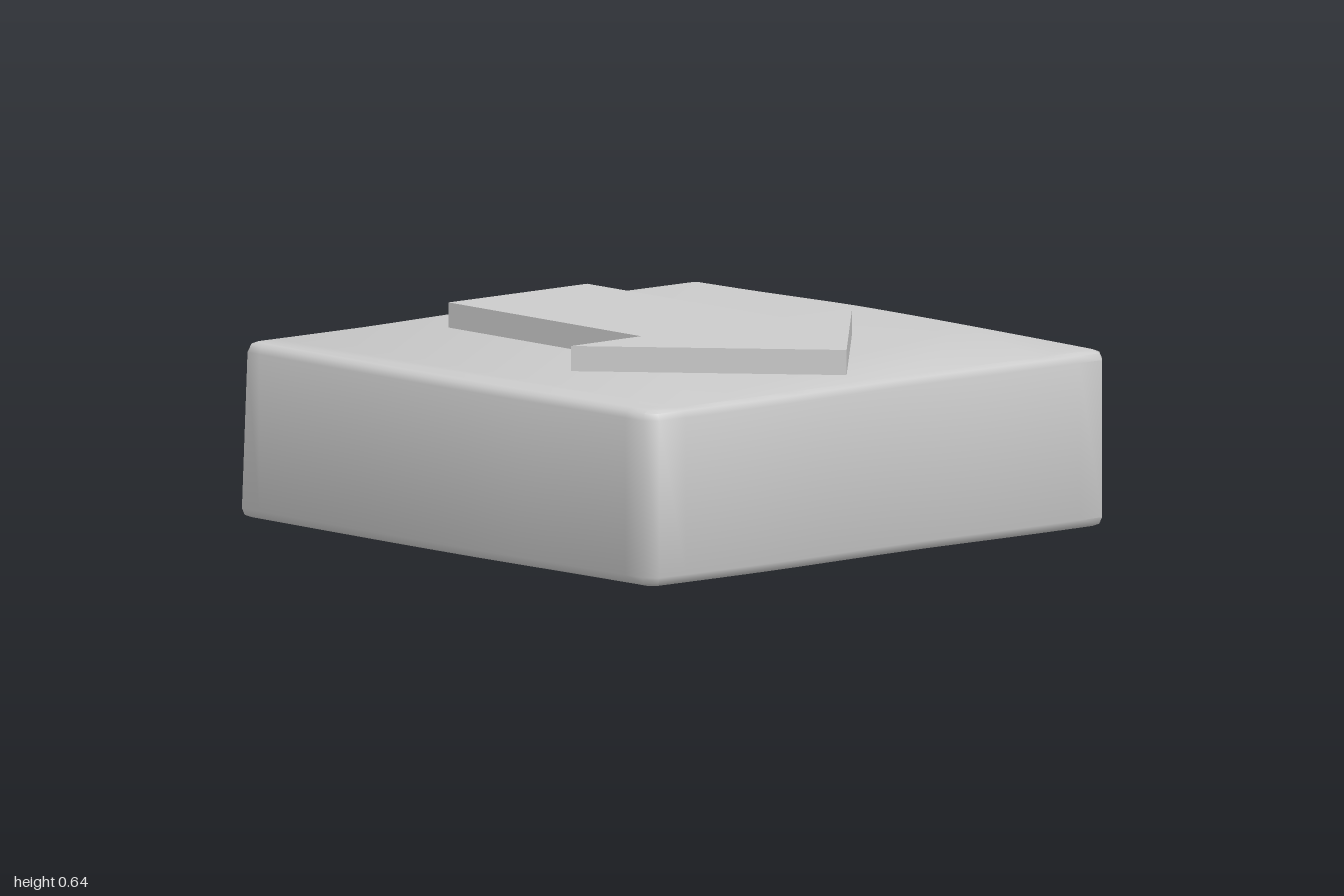
import * as THREE from 'three';
import { toCreasedNormals } from 'three/addons/utils/BufferGeometryUtils.js';

const material = new THREE.MeshStandardMaterial({ color: 0xcccccc });

// Each side of the block's plan as [x, z] points; chamfers join the sides
const SIDES = [
  [[-0.95, -1], [-0.5, -1], [0, -1], [0.5, -1], [0.92, -1]],
  [[0.945, -0.965], [0.96, -0.7], [0.995, -0.33], [1, -0.1], [0.995, 0.2], [0.98, 0.6], [0.965, 0.92]],
  [[0.935, 0.955], [0.6, 0.962], [0.2, 0.962], [-0.1, 0.975], [-0.35, 0.99], [-0.6, 0.998], [-0.95, 0.998]],
  [[-0.985, 0.96], [-0.99, 0.6], [-1, 0.2], [-1, -0.2], [-0.993, -0.6], [-0.985, -0.965]],
];

// Extrudes a plan outline downward from the given top height
function slab(name, points, top, height, bevel) {
  const geo = new THREE.ExtrudeGeometry(new THREE.Shape(points), {
    depth: height - 2 * bevel,
    bevelEnabled: bevel > 0,
    bevelThickness: bevel,
    bevelSize: bevel,
    bevelOffset: -bevel,
    bevelSegments: 2,
  });
  geo.rotateX(Math.PI / 2);
  geo.translate(0, top - bevel, 0);
  const mesh = new THREE.Mesh(geo, material);
  mesh.name = name;
  return mesh;
}

export function createModel() {
  const model = new THREE.Group();
  model.name = 'arrowBlock';

  // Block with gently wavy sides and bevelled edges
  const plan = SIDES.flatMap((side) =>
    new THREE.SplineCurve(side.map(([x, z]) => new THREE.Vector2(x, z))).getPoints(16));
  const block = slab('block', plan, 0.56, 0.56, 0.03);

  // The back wall leans inward toward the top on the right half
  const pos = block.geometry.attributes.position;
  for (let i = 0; i < pos.count; i++) {
    if (pos.getZ(i) > -0.9) continue;
    const lean = 0.03 * THREE.MathUtils.smoothstep(-pos.getX(i), 0, 0.6) * pos.getY(i) / 0.56;
    pos.setZ(i, pos.getZ(i) + lean);
  }
  block.geometry = toCreasedNormals(block.geometry, Math.PI / 3.5);
  model.add(block);

  // Raised arrow pointing to the front
  const arrow = [
    [-0.3, -0.76], [0.285, -0.767], [0.285, 0.17], [0.575, 0.17],
    [-0.005, 0.81], [-0.605, 0.178], [-0.305, 0.168],
  ].map(([x, z]) => new THREE.Vector2(x, z));
  model.add(slab('arrow', arrow, 0.64, 0.09, 0));

  return model;
}
